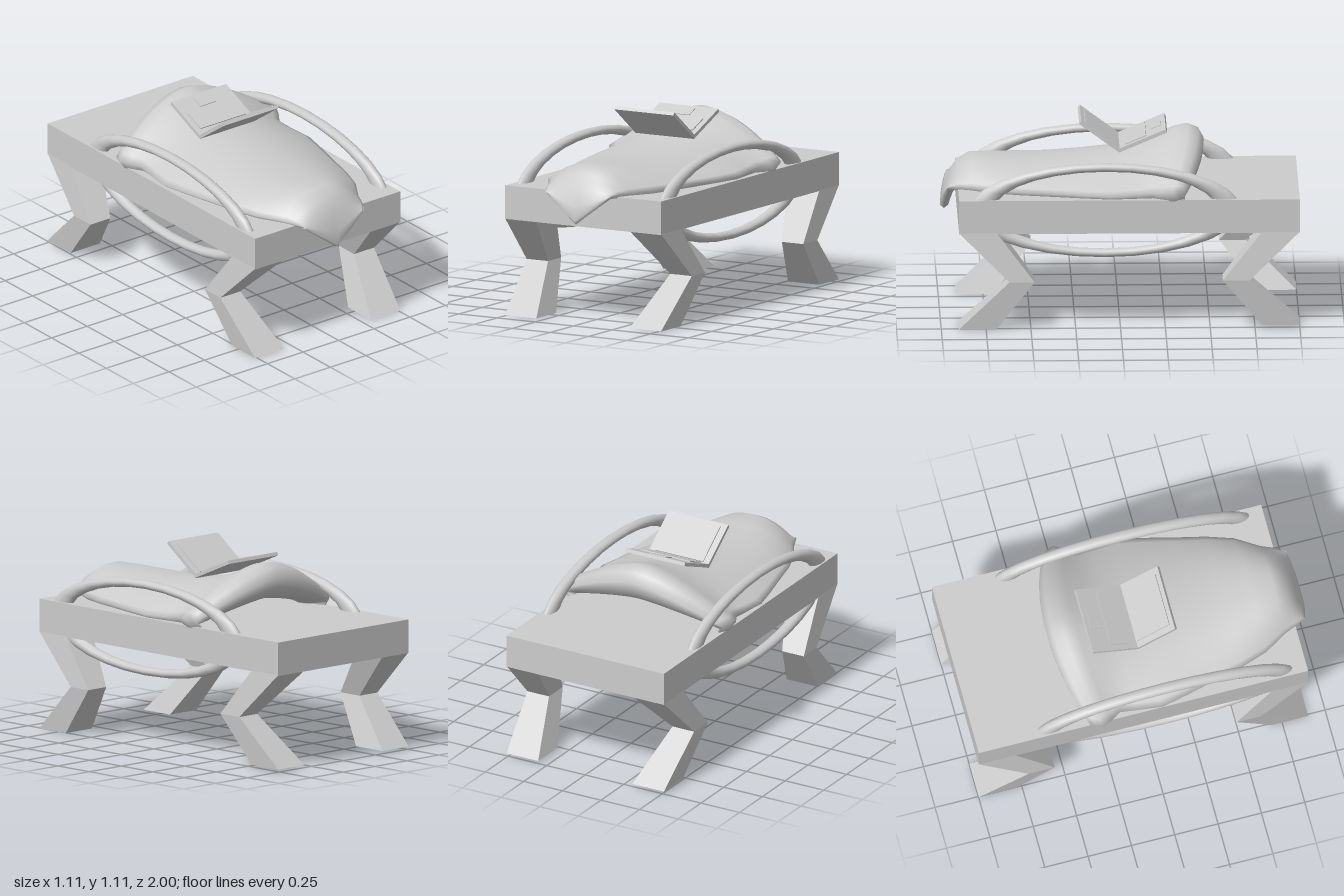
import * as THREE from 'three';

const grey = new THREE.MeshStandardMaterial({ color: 0xcccccc });
const flat = new THREE.MeshStandardMaterial({ color: 0xcccccc, flatShading: true });
const cloth = new THREE.MeshStandardMaterial({ color: 0xcccccc, side: THREE.DoubleSide });

function add(parent, name, geometry, material, x = 0, y = 0, z = 0) {
  const mesh = new THREE.Mesh(geometry, material);
  mesh.name = name;
  mesh.position.set(x, y, z);
  parent.add(mesh);
  return mesh;
}

// Skins rows of equally many [x, y, z] points
function skin(rows, closed = false) {
  const n = rows[0].length, index = [];
  for (let r = 0; r < rows.length - 1; r++) {
    for (let i = 0; i < (closed ? n : n - 1); i++) {
      const a = r * n + i, b = r * n + (i + 1) % n;
      index.push(a, a + n, b, b, a + n, b + n);
    }
  }
  const g = new THREE.BufferGeometry();
  g.setAttribute('position', new THREE.Float32BufferAttribute(rows.flat(2), 3));
  g.setIndex(index);
  return g;
}

// Bent leg through rectangles [y, xInner, xOuter, zMin, zMax], listed top to bottom
function legGeometry(side, levels) {
  const rows = levels.map(([y, xi, xo, z0, z1]) => {
    const a = Math.min(side * xi, side * xo), b = Math.max(side * xi, side * xo);
    return [[a, y, z0], [a, y, z1], [b, y, z1], [b, y, z0]];
  });
  const g = skin(rows, true);
  const k = (levels.length - 1) * 4;
  g.setIndex([...g.index.array, 0, 1, 2, 0, 2, 3, k, k + 2, k + 1, k, k + 3, k + 2]);
  g.computeVertexNormals();
  return g;
}

// Blanket sections: centre z, centre y, half width, edge z, edge y, curve power
const sections = [
  [-0.22, 0.86, 0.44, -0.22, 0.73, 1.6],
  [-0.33, 0.83, 0.47, -0.26, 0.73, 1.6],
  [-0.42, 0.855, 0.48, -0.32, 0.74, 1.6],
  [-0.47, 0.91, 0.50, -0.36, 0.755, 1.6],
  [-0.475, 0.965, 0.52, -0.36, 0.77, 1.6],
  [-0.445, 1.02, 0.54, -0.33, 0.785, 1.6],
  [-0.385, 1.045, 0.555, -0.29, 0.785, 1.6],
  [-0.31, 1.03, 0.53, -0.24, 0.78, 1.6],
  [-0.22, 0.985, 0.49, -0.18, 0.77, 1.7],
  [-0.10, 0.94, 0.50, -0.08, 0.76, 1.8],
  [0.04, 0.91, 0.515, 0.06, 0.755, 1.9],
  [0.22, 0.89, 0.48, 0.22, 0.755, 2],
  [0.40, 0.875, 0.435, 0.40, 0.755, 2.2],
  [0.55, 0.875, 0.40, 0.55, 0.755, 2.3],
  [0.70, 0.88, 0.35, 0.70, 0.755, 2.4],
  [0.83, 0.885, 0.27, 0.83, 0.75, 2.4],
  [0.90, 0.85, 0.24, 0.90, 0.75, 2],
  [0.95, 0.77, 0.22, 0.94, 0.745, 1.5],
  [0.98, 0.67, 0.21, 0.955, 0.74, 1.1],
  [0.995, 0.59, 0.21, 0.96, 0.735, 1],
  [0.975, 0.57, 0.21, 0.945, 0.73, 1],
  [0.95, 0.59, 0.20, 0.925, 0.73, 1],
  [0.90, 0.74, 0.19, 0.89, 0.735, 1],
];

function blanketGeometry() {
  const steps = 28;
  const rows = sections.map(([zc, yc, w, ze, ye, p]) => {
    const row = [];
    for (let i = 0; i <= steps; i++) {
      const s = i / steps * 2 - 1, t = Math.abs(s);
      const k = t ** p;
      row.push([s * w, yc + (ye - yc) * k, zc + (ze - zc) * t * t]);
    }
    // Hem tucked under on both sides
    row.unshift([-w * 0.93, 0.728, ze]);
    row.push([w * 0.93, 0.728, ze]);
    return row;
  });
  const g = skin(rows);
  g.computeVertexNormals();
  return g;
}

export function createModel() {
  const model = new THREE.Group();
  model.name = 'bed';

  // Slab
  add(model, 'bedSlab', new THREE.BoxGeometry(1.02, 0.19, 1.9), flat, 0, 0.64, -0.05);

  for (const side of [1, -1]) {
    const word = side > 0 ? 'Left' : 'Right';
    // Bent legs
    add(model, 'front' + word + 'Leg', legGeometry(side, [
      [0.55, 0.305, 0.51, 0.69, 0.9],
      [0.275, 0.4, 0.54, 0.48, 0.62],
      [0, 0.305, 0.51, 0.69, 0.9],
    ]), flat);
    add(model, 'back' + word + 'Leg', legGeometry(side, [
      [0.55, 0.305, 0.51, -1, -0.79],
      [0.28, 0.4, 0.54, -0.72, -0.57],
      [0.015, 0.305, 0.51, -1, -0.79],
    ]), flat);

    // Oval side rail passing through the slab
    const ring = new THREE.TorusGeometry(1, 0.1, 12, 28);
    ring.rotateY(Math.PI / 2);
    ring.scale(0.33, 0.245, 0.69);
    add(model, 'side' + word + 'Rail', ring, grey, side * 0.468, 0.67, 0.085);
  }

  // Blanket with a rolled back end and a pointed front flap
  add(model, 'blanket', blanketGeometry(), cloth);

  // Open laptop, hinged on the blanket
  const laptop = new THREE.Group();
  laptop.name = 'laptop';
  laptop.position.set(-0.017, 0.93, -0.005);
  model.add(laptop);

  const base = new THREE.Group();
  base.name = 'laptopBase';
  base.rotation.x = 0.4;
  laptop.add(base);
  add(base, 'baseShell', new THREE.BoxGeometry(0.385, 0.02, 0.285), flat, 0, 0.01, -0.1425);
  add(base, 'keyboard', new THREE.BoxGeometry(0.32, 0.008, 0.125), flat, 0, 0.022, -0.105);
  add(base, 'touchpad', new THREE.BoxGeometry(0.11, 0.006, 0.07), flat, 0, 0.021, -0.225);

  const lid = new THREE.Group();
  lid.name = 'laptopLid';
  lid.rotation.x = -0.635;
  laptop.add(lid);
  add(lid, 'lidShell', new THREE.BoxGeometry(0.385, 0.02, 0.28), flat, 0, 0.005, 0.14);
  add(lid, 'screen', new THREE.BoxGeometry(0.31, 0.008, 0.235), flat, 0, 0.017, 0.137);

  return model;
}
